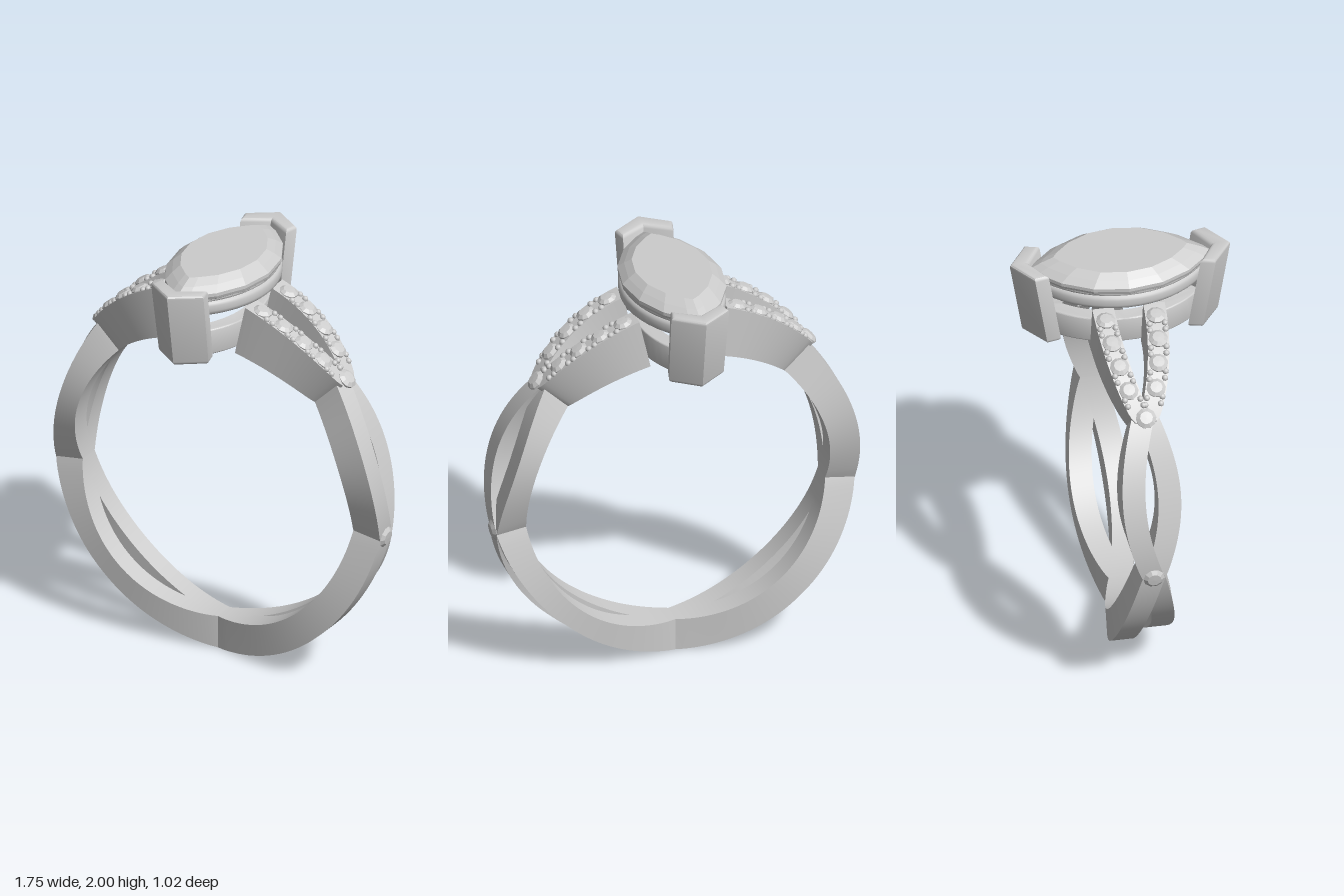
import * as THREE from 'three';
import { toCreasedNormals } from 'three/addons/utils/BufferGeometryUtils.js';

const CY = 0.885; // height of the finger hole's centre
const rad = THREE.MathUtils.degToRad;
const metal = new THREE.MeshStandardMaterial({ color: 0xcccccc });
const faceted = new THREE.MeshStandardMaterial({ color: 0xcccccc, flatShading: true });

function add(parent, name, geometry, material = metal) {
  const mesh = new THREE.Mesh(geometry, material);
  mesh.name = name;
  parent.add(mesh);
  return mesh;
}

// Skin a row of matching rings and cap both ends
function loft(rings, crease = 0.5) {
  const pos = [];
  const tri = (...pts) => pts.forEach((p) => pos.push(p.x, p.y, p.z));
  const n = rings[0].length;
  for (let k = 0; k < rings.length - 1; k++) {
    const a = rings[k], b = rings[k + 1];
    for (let i = 0; i < n; i++) {
      const j = (i + 1) % n;
      tri(a[i], a[j], b[j]);
      tri(a[i], b[j], b[i]);
    }
  }
  const first = rings[0], last = rings[rings.length - 1];
  for (let i = 1; i < n - 1; i++) {
    tri(first[0], first[i + 1], first[i]);
    tri(last[0], last[i], last[i + 1]);
  }
  const g = new THREE.BufferGeometry();
  g.setAttribute('position', new THREE.Float32BufferAttribute(pos, 3));
  g.computeVertexNormals();
  return toCreasedNormals(g, crease);
}

// Rectangular bar swept around the finger hole; section(t) gives its size and place
function bandSweep(from, to, steps, section) {
  const rings = [];
  for (let k = 0; k <= steps; k++) {
    const t = k / steps, a = rad(from + (to - from) * t);
    const { inner, outer, z, half } = section(t);
    const at = (r, zz) => new THREE.Vector3(r * Math.cos(a), CY + r * Math.sin(a), zz);
    rings.push([at(inner, z + half), at(outer, z + half), at(outer, z - half), at(inner, z - half)]);
  }
  return loft(rings);
}

// Pointed oval made of two arcs, as [x, z] pairs
function marquise(length, width, n) {
  const R = (length * length + width * width) / (2 * width);
  return Array.from({ length: 2 * n }, (_, i) => {
    const a = (Math.PI * i) / n, z = length * Math.cos(a);
    const x = Math.max(0, Math.sqrt(R * R - z * z) - (R - width));
    return [i < n ? x : -x, z];
  });
}

// Upright extrusion starting at height y
function upright(shape, y, depth, bevel) {
  const g = new THREE.ExtrudeGeometry(shape, {
    depth: depth - 2 * bevel, bevelEnabled: bevel > 0, bevelSize: bevel,
    bevelThickness: bevel, bevelOffset: -bevel, bevelSegments: 3,
  });
  return g.rotateX(-Math.PI / 2).translate(0, y + bevel, 0);
}

function marquiseRing(length, width, thick, y, depth, bevel) {
  const toPts = (list) => list.map(([x, z]) => new THREE.Vector2(x, z));
  const shape = new THREE.Shape(toPts(marquise(length, width, 24)));
  shape.holes.push(new THREE.Path(toPts(marquise(length - thick * 1.4, width - thick, 24))));
  return toCreasedNormals(upright(shape, y, depth, bevel), 0.6);
}

// Small round cut stone, facing +y
function stoneGeometry(r) {
  const profile = [[0, -0.7], [0.98, -0.12], [1, 0.08], [0.62, 0.36], [0, 0.38]];
  return new THREE.LatheGeometry(profile.map(([x, y]) => new THREE.Vector2(x * r, y * r)), 10);
}

// Set a mesh on the band, facing outwards
function setOnBand(mesh, r, degrees, z) {
  const a = rad(degrees);
  mesh.position.set(r * Math.cos(a), CY + r * Math.sin(a), z);
  mesh.rotation.z = a - Math.PI / 2;
}

// Split shoulder: place and size along its length
const SHOULDER = [43, 77.5];
function shoulderAt(t, side) {
  return {
    inner: 0.725, outer: 0.905 + 0.07 * t,
    z: side * 0.118 * Math.pow(Math.sin((t * Math.PI) / 2), 0.7), half: 0.05,
  };
}

function halfBand() {
  const half = new THREE.Group();
  for (const side of [1, -1]) {
    // Twisting strands: the front one is full height, the back one dips in the lobes
    const dip = side > 0 ? 0 : 0.045;
    const lobe = (t) => {
      const s = Math.sin(Math.PI * t);
      return {
        inner: 0.725, outer: 0.868 + 0.017 * Math.max(0, 1 - 2 * t) - dip * s,
        z: side * 0.086 * Math.pow(s, 0.9), half: 0.053,
      };
    };
    add(half, 'lowerStrand', bandSweep(-90, -8.3, 40, lobe));
    add(half, 'upperStrand', bandSweep(-8.3, 46, 30, (t) => ({ ...lobe(t), outer: 0.868 + 0.02 * t * t - dip * Math.sin(Math.PI * t) })));
    add(half, 'shoulder', bandSweep(...SHOULDER, 24, (t) => shoulderAt(t, side)));

    // Row of shoulder stones with holding beads between them
    const stone = stoneGeometry(0.045), bead = new THREE.SphereGeometry(0.015, 8, 6);
    for (let i = 0; i < 4; i++) {
      const t = 0.27 + i * 0.205, s = shoulderAt(t, side);
      const angle = (u) => SHOULDER[0] + (SHOULDER[1] - SHOULDER[0]) * u;
      setOnBand(add(half, 'shoulderStone', stone, faceted), s.outer, angle(t), s.z);
      for (const edge of [1, -1]) {
        for (const u of [t - 0.13, t - 0.075]) {
          const b = shoulderAt(u, side);
          setOnBand(add(half, 'bead', bead), b.outer, angle(u), b.z + edge * 0.036);
        }
      }
    }
  }
  // Single stones where the strands meet
  setOnBand(add(half, 'tipStone', stoneGeometry(0.048), faceted), 0.908, 44, 0);
  setOnBand(add(half, 'crossingStone', stoneGeometry(0.052), faceted), 0.862, -8.3, 0);
  return half;
}

function prong() {
  // Chevron plan, leaning outwards towards the top
  const plan = [[0, 0.455], [-0.135, 0.362], [-0.118, 0.295], [0, 0.365], [0.118, 0.295], [0.135, 0.362]];
  const g = upright(new THREE.Shape(plan.map(([x, y]) => new THREE.Vector2(x, y))), 1.61, 0.375, 0.018);
  const p = g.attributes.position;
  for (let i = 0; i < p.count; i++) {
    const t = (p.getY(i) - 1.61) / 0.375;
    p.setX(i, p.getX(i) * (0.97 + 0.06 * t));
    p.setZ(i, p.getZ(i) - 0.06 * Math.pow(Math.max(t, 0), 1.4));
  }
  g.computeVertexNormals();
  return toCreasedNormals(g, 0.6);
}

function centreStone() {
  // Height and scale of each level, from the culet up to the table
  const levels = [[1.76, 0.06], [1.84, 0.6], [1.918, 0.98], [1.932, 1], [1.948, 1], [1.975, 0.88], [2.0, 0.74]];
  const outline = marquise(0.42, 0.237, 8);
  return loft(levels.map(([y, s]) => outline.map(([x, z]) => new THREE.Vector3(x * s, y, z * s))), 0.05);
}

export function createModel() {
  const ring = new THREE.Group();
  ring.name = 'ring';

  // Band halves, the second turned half a turn about the vertical
  for (const [name, turn] of [['leftBand', 0], ['rightBand', Math.PI]]) {
    const half = halfBand();
    half.name = name;
    half.rotation.y = turn;
    ring.add(half);
  }

  // Setting for the large stone
  const setting = new THREE.Group();
  setting.name = 'setting';
  ring.add(setting);
  add(setting, 'gallery', marquiseRing(0.37, 0.172, 0.065, 1.612, 0.125, 0.006));
  add(setting, 'upperRail', marquiseRing(0.41, 0.235, 0.07, 1.832, 0.075, 0.025));
  add(setting, 'stoneSeat', marquiseRing(0.405, 0.225, 0.05, 1.9, 0.03, 0.01));
  const prongShape = prong();
  add(setting, 'backProng', prongShape);
  add(setting, 'frontProng', prongShape).rotation.y = Math.PI;
  add(setting, 'centreStone', centreStone(), faceted);
  return ring;
}
